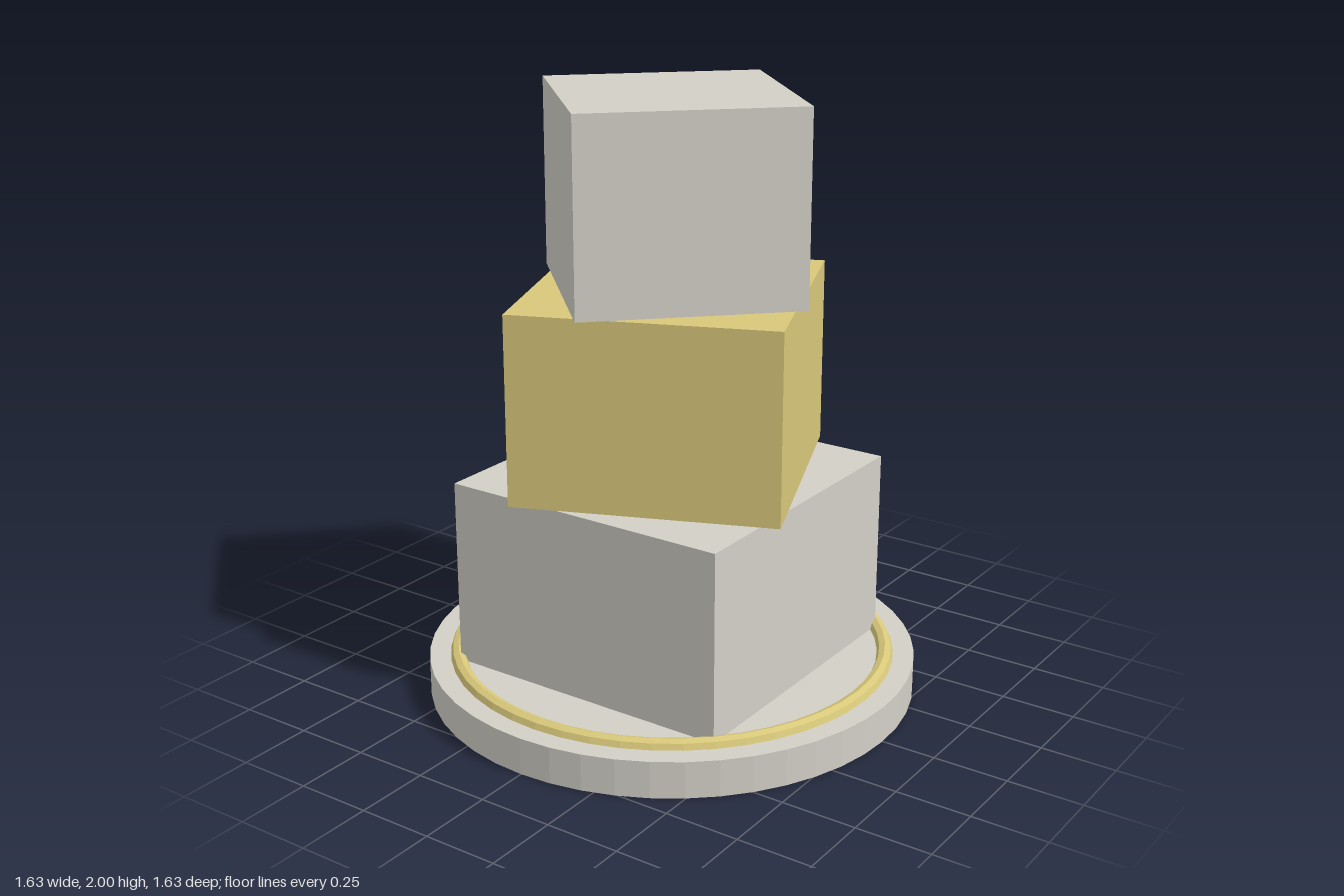
import * as THREE from 'three';

export function createModel() {
  const model = new THREE.Group();
  model.name = 'twistedBlockTrophy';

  const stone = new THREE.MeshStandardMaterial({ color: 0xd2cfc6, flatShading: true });
  stone.name = 'pale stone';
  const gold = new THREE.MeshStandardMaterial({ color: 0xd8c87a, flatShading: true });
  gold.name = 'soft gold';

  const add = (name, geometry, material, y) => {
    const mesh = new THREE.Mesh(geometry, material);
    mesh.name = name;
    mesh.position.y = y;
    model.add(mesh);
    return mesh;
  };

  // Round base with a ring lying half sunk into its top
  const baseHeight = 0.123;
  add('base', new THREE.CylinderGeometry(0.817, 0.817, baseHeight, 48), stone, baseHeight / 2);
  const ring = add('baseRing', new THREE.TorusGeometry(0.72, 0.027, 8, 48), gold, baseHeight);
  ring.rotation.x = -Math.PI / 2;

  // Three stacked blocks, each smaller and turned a further eighth of a half turn
  const blocks = [
    ['lowerBlock', 1.01, baseHeight, 0.75, stone],
    ['middleBlock', 0.863, 0.75, 1.375, gold],
    ['upperBlock', 0.719, 1.375, 2, stone],
  ];
  blocks.forEach(([name, side, bottom, top, material], i) => {
    const block = add(name, new THREE.BoxGeometry(side, top - bottom, side), material, (bottom + top) / 2);
    block.rotation.y = i * Math.PI / 8;
  });

  return model;
}
